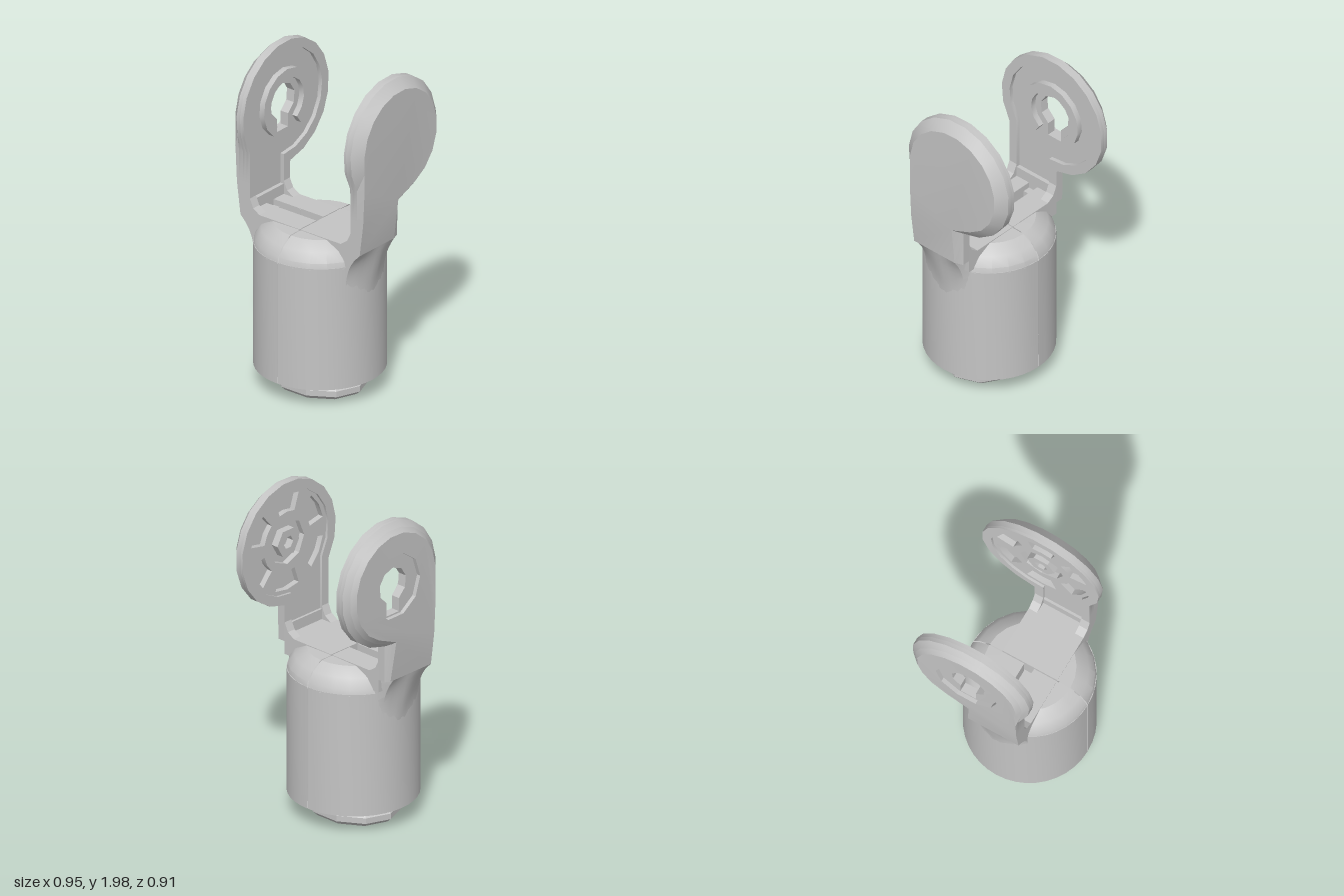
import * as THREE from 'three';
import { toCreasedNormals } from 'three/addons/utils/BufferGeometryUtils.js';

const AXIS_Z = 0.075;                    // barrel axis
const DISC = { z: -0.07, y: 1.61, r: 0.385 }; // pivot disc on each arm
const PI = Math.PI;

export function createModel() {
  const model = new THREE.Group();
  const grey = new THREE.MeshStandardMaterial({ color: 0xc4c4c4, side: THREE.DoubleSide });
  grey.name = 'plain grey';

  const add = (name, geo, parent = model) => {
    const mesh = new THREE.Mesh(toCreasedNormals(geo, 0.45), grey);
    mesh.name = name;
    parent.add(mesh);
    return mesh;
  };
  const box = (name, x0, x1, y0, y1, z0, z1) =>
    add(name, new THREE.BoxGeometry(x1 - x0, y1 - y0, z1 - z0)
      .translate((x0 + x1) / 2, (y0 + y1) / 2, (z0 + z1) / 2));
  // Ring-shaped solid turned about the barrel axis
  const lathe = (name, profile, segs, start = 0, sweep = PI * 2, dx = 0) => {
    const pts = [...profile, profile[0]].map(p => new THREE.Vector2(...p));
    return add(name, new THREE.LatheGeometry(pts, segs, start, sweep).translate(dx, 0, AXIS_Z));
  };

  // Split barrel and its domed shoulders; the right shoulder leaves room for the slot
  const wall = [[0.315, 0.135], [0.38, 0.135], [0.38, 0.9], [0.315, 0.9]];
  const dome = [[0.315, 0.89], [0.38, 0.89], [0.372, 0.93], [0.335, 0.985], [0.265, 1.03],
    [0.17, 1.033], [0.17, 0.96], [0.28, 0.94]];
  const gap = 0.18;
  lathe('leftBarrelHalf', wall, 20, 0, PI, 0.003);
  lathe('rightBarrelHalf', wall, 20, PI, PI, -0.003);
  lathe('leftShoulder', dome, 12, 0, PI, 0.003);
  lathe('rightFrontShoulder', dome, 6, 1.5 * PI + gap, PI / 2 - gap, -0.003);
  lathe('rightBackShoulder', dome, 6, PI, PI / 2 - gap, -0.003);

  // Flat deck between the arms, slotted on the right half
  box('leftDeck', 0.003, 0.372, 0.92, 1.036, -0.105, 0.255);
  box('rightFrontDeck', -0.372, -0.003, 0.92, 1.036, 0.105, 0.255);
  box('rightBackDeck', -0.372, -0.003, 0.92, 1.036, -0.105, 0.04);
  box('slotFloor', -0.36, -0.11, 0.84, 0.9, 0.03, 0.115);
  box('slotStep', -0.36, -0.2, 0.89, 0.96, 0.04, 0.105);

  // Hollow neck with its retaining flange, and the countersunk oval nut below
  lathe('neck', [[0.13, 0.05], [0.195, 0.05], [0.195, 0.26], [0.13, 0.26]], 16);
  lathe('neckFlange', [[0.13, 0.22], [0.32, 0.22], [0.32, 0.28], [0.13, 0.28]], 20);
  const nut = lathe('nut', [[0.205, 0.01], [0.265, 0.01], [0.295, 0.035], [0.295, 0.07],
    [0.265, 0.1], [0.14, 0.1], [0.14, 0.06], [0.205, 0.05]], 10, PI / 2);
  nut.scale.z = 0.84;
  nut.position.z = AXIS_Z * 0.16;

  // Points [z, y] on a circle around the pivot
  const polar = (r, a) => [DISC.z + r * Math.cos(a), DISC.y + r * Math.sin(a)];
  const arc = (r, from, to, n) =>
    Array.from({ length: n + 1 }, (_, i) => polar(r, from + (to - from) * i / n));
  const circle = (r, n = 16) => arc(r, 0, 2 * PI * (n - 1) / n, n - 1);
  const sector = (r0, r1, from, to, n = 2) =>
    [...arc(r1, from, to, n), ...arc(r0, to, from, n)];

  // Arm silhouette, and the sunken area that follows it on the inner face
  const outline = [[-0.105, 1], [0.255, 1], [0.255, 1.2], ...arc(DISC.r, -0.565, 1.5 * PI - 0.1, 16)];
  const sunken = [[-0.05, 1.1], [0.2, 1.1], ...arc(0.325, -0.586, 1.5 * PI + 0.06, 16)];
  const keyhole = [[-0.12, 1.43], [-0.02, 1.43], ...arc(0.11, -1.1, PI + 1.1, 8)];

  // Outer face of the arm leans in towards the barrel
  const lean = [[0.68, 0.38], [0.85, 0.415], [1.05, 0.447], [1.2, 0.465], [1.4, 0.475]];
  const leanAt = y => {
    for (let i = 1; i < lean.length; i++) {
      const [y0, x0] = lean[i - 1], [y1, x1] = lean[i];
      if (y <= y1) return x0 + (x1 - x0) * (y - y0) / (y1 - y0);
    }
    return 0.475;
  };

  // One slice of an arm from x0 outwards to x1; side is +1 left, -1 right
  const slice = (name, parent, side, x0, x1, contour, holes = []) => {
    const toVec = ([z, y]) => new THREE.Vector2(-side * z, y);
    const shape = new THREE.Shape(contour.map(toVec));
    shape.holes = holes.map(h => new THREE.Path(h.map(toVec)));
    const geo = new THREE.ExtrudeGeometry(shape, { depth: x1 - x0, bevelEnabled: false });
    const pos = geo.attributes.position;
    for (let i = 0; i < pos.count; i++) {
      let z = -side * pos.getX(i), y = pos.getY(i);
      const x = x0 + pos.getZ(i);
      const r = Math.hypot(z - DISC.z, y - DISC.y);
      const t = Math.max(0, (x - 0.42) / 0.055);
      if (z > -0.12 && z < -0.1 && y < 1.24) {
        z += 0.05 * t;                  // bevel the back edge of the stalk
        if (y > 1.2) y += 0.025 * t;
      } else if (r > 0.375 && (y > 1.41 || (y > 1.2 && z < -0.1))) {
        const k = (DISC.r - 0.06 * t) / r; // chamfer the outer rim of the disc
        z = DISC.z + (z - DISC.z) * k;
        y = DISC.y + (y - DISC.y) * k;
      }
      pos.setXYZ(i, -side * z, y, Math.min(x, leanAt(y)));
    }
    return add(name, geo.rotateY(side * PI / 2), parent);
  };

  // Arm root: a block whose outer face melts from the arm into the round barrel
  const root = (parent, side) => {
    const geo = new THREE.BoxGeometry(1, 1, 1, 1, 8, 8);
    const pos = geo.attributes.position;
    for (let i = 0; i < pos.count; i++) {
      const outer = side * pos.getX(i) > 0;
      const t = pos.getY(i) + 0.5, y = 0.68 + 0.32 * t;
      const back = outer ? -0.055 - 0.025 * t * t * (1 - t) : -0.105;
      const z = back + (0.255 - back) * (pos.getZ(i) + 0.5);
      const barrel = Math.sqrt(0.38 ** 2 - (z - AXIS_Z) ** 2);
      const blend = t ** (3 * Math.abs(z - AXIS_Z) / 0.18);
      const x = outer ? barrel + (leanAt(y) - barrel) * blend : 0.325;
      pos.setXYZ(i, side * x, y, z);
    }
    add('armRoot', geo, parent);
  };

  // Left arm: closed outside, ribbed pockets and a hub inside
  const leftArm = new THREE.Group();
  leftArm.name = 'leftArm';
  model.add(leftArm);
  const pockets = [];
  for (let i = 0; i < 6; i++) {
    const a = i * PI / 3 + 0.2;
    pockets.push(sector(0.19, 0.3, a, a + 0.65));
  }
  slice('rim', leftArm, 1, 0.37, 0.385, outline, [sunken]);
  slice('ribbedFace', leftArm, 1, 0.385, 0.42, outline, [...pockets, circle(0.14, 8)]);
  slice('armBack', leftArm, 1, 0.42, 0.475, outline);
  slice('hub', leftArm, 1, 0.375, 0.425, circle(0.09, 6), [circle(0.04, 6)]);
  root(leftArm, 1);

  // Right arm: keyhole bore, sunken inner face around an open raised ring
  const rightArm = new THREE.Group();
  rightArm.name = 'rightArm';
  model.add(rightArm);
  slice('rim', rightArm, -1, 0.37, 0.395, outline, [sunken]);
  slice('armCore', rightArm, -1, 0.395, 0.42, outline, [keyhole]);
  slice('armBack', rightArm, -1, 0.42, 0.45, outline, [keyhole]);
  slice('outerRecess', rightArm, -1, 0.45, 0.475, outline, [circle(0.2, 10)]);
  slice('raisedRing', rightArm, -1, 0.36, 0.4, sector(0.15, 0.21, -0.95, PI + 0.95, 12));
  root(rightArm, -1);

  // Gussets where the arms rise from the deck
  const tri = new THREE.Shape([[0.29, 1.03], [0.375, 1.03], [0.375, 1.13], [0.345, 1.065]]
    .map(p => new THREE.Vector2(...p)));
  for (const side of [1, -1]) {
    for (const z of [-0.105, 0.2]) {
      const geo = new THREE.ExtrudeGeometry(tri, { depth: 0.055, bevelEnabled: false });
      if (side < 0) geo.translate(0, 0, -0.055).rotateY(PI);
      add('gusset', geo.translate(0, 0, z));
    }
  }
  return model;
}
